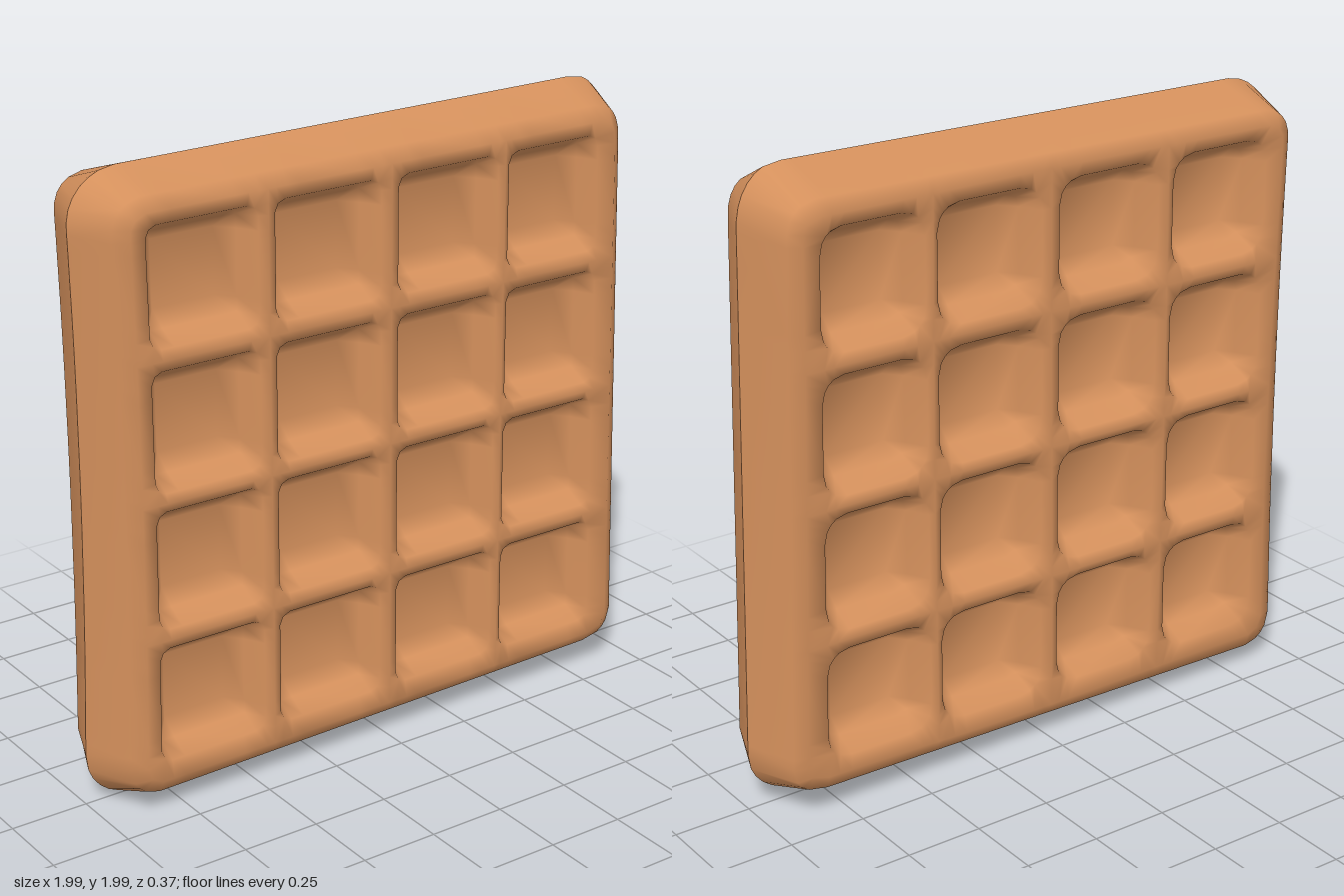
import * as THREE from 'three';

const POCKETS_X = [-0.65, -0.22, 0.215, 0.63];
const POCKETS_Y = [-0.645, -0.21, 0.22, 0.66];
const STEPS = [-0.187, -0.15, -0.105, 0.105, 0.15, 0.187]; // lines across one pocket
const LEVELS = [1, 2, 3, 3, 2, 1]; // 0 = rib top, 3 = pocket floor

// Grid lines along one axis: rim, pockets and rib centres
function gridLines(centres) {
  const lines = [-1, -0.935, -0.89].map((p) => ({ p, level: 0 }));
  centres.forEach((c, k) => {
    if (k > 0) lines.push({ p: (centres[k - 1] + c) / 2, level: 0 });
    STEPS.forEach((s, n) => lines.push({ p: c + s, level: LEVELS[n], c }));
  });
  [0.89, 0.935, 1].forEach((p) => lines.push({ p, level: 0 }));
  return lines;
}

// Pull the corners of a square of the given half size round to the radius
function roundCorner(x, y, half, radius) {
  const core = half - radius;
  const dx = Math.max(Math.abs(x) - core, 0);
  const dy = Math.max(Math.abs(y) - core, 0);
  if (dx === 0 || dy === 0) return [x, y];
  const k = Math.max(dx, dy) / Math.hypot(dx, dy);
  return [Math.sign(x) * (core + dx * k), Math.sign(y) * (core + dy * k)];
}

// Slightly uneven, hand-baked outline
function warp(x, y) {
  const right = Math.max(x, 0) ** 4;
  const left = Math.max(-x, 0) ** 4;
  const top = Math.max(y, 0) ** 4;
  const bottom = Math.max(-y, 0) ** 4;
  return [
    x - right * 0.033 * (y + 1) + left * 0.022 * (1 - y * y),
    y + 1 + bottom * 0.02 * (x + 1) - top * 0.01 * (1 - x),
  ];
}

// One face of the waffle, from the ridge around the edge to the pocket floors
function halfGeometry(side, depths, pocketRadius) {
  const xs = gridLines(POCKETS_X);
  const ys = gridLines(POCKETS_Y);
  const n = xs.length;
  const positions = [];
  const index = [];
  for (let j = 0; j < n; j++) {
    for (let i = 0; i < n; i++) {
      const ring = Math.min(i, j, n - 1 - i, n - 1 - j);
      const level = Math.min(xs[i].level, ys[j].level);
      let x = xs[i].p;
      let y = ys[j].p;
      if (level > 0) {
        const [dx, dy] = roundCorner(x - xs[i].c, y - ys[j].c, 0.187, pocketRadius);
        x = xs[i].c + dx;
        y = ys[j].c + dy;
      } else {
        [x, y] = roundCorner(x, y, 1, 0.17);
      }
      let z = side * depths[level];
      if (ring === 0) z = 0.012 + 0.015 * y;
      else if (ring === 1) z = side * 0.16;
      else if (side < 0 && level === 0) z += 0.007 * Math.sin(x * 4 + y * 2);
      positions.push(...warp(x, y), z);
    }
  }
  const z = (k) => positions[k * 3 + 2];
  for (let j = 0; j < n - 1; j++) {
    for (let i = 0; i < n - 1; i++) {
      const a = j * n + i;
      const b = a + 1;
      const c = b + n;
      const d = a + n;
      // Split each cell along the slope so pocket corners stay clean
      const quad = Math.abs(z(a) - z(c)) > Math.abs(z(b) - z(d))
        ? [a, b, c, a, c, d]
        : [a, b, d, b, c, d];
      if (side < 0) quad.reverse();
      index.push(...quad);
    }
  }
  const geometry = new THREE.BufferGeometry();
  geometry.setAttribute('position', new THREE.Float32BufferAttribute(positions, 3));
  geometry.setIndex(index);
  geometry.computeVertexNormals();
  return geometry;
}

export function createModel() {
  const group = new THREE.Group();
  group.name = 'waffle';
  const crust = new THREE.MeshStandardMaterial({ color: 0xd4905c });
  crust.name = 'golden crust';

  // Crisp square pockets on the front
  const front = new THREE.Mesh(halfGeometry(1, [0.188, 0.178, 0.115, 0.06], 0.04), crust);
  front.name = 'frontHalf';

  // Softer, rounder pockets on the back
  const back = new THREE.Mesh(halfGeometry(-1, [0.18, 0.17, 0.1, 0.05], 0.08), crust);
  back.name = 'backHalf';

  group.add(front, back);
  return group;
}
